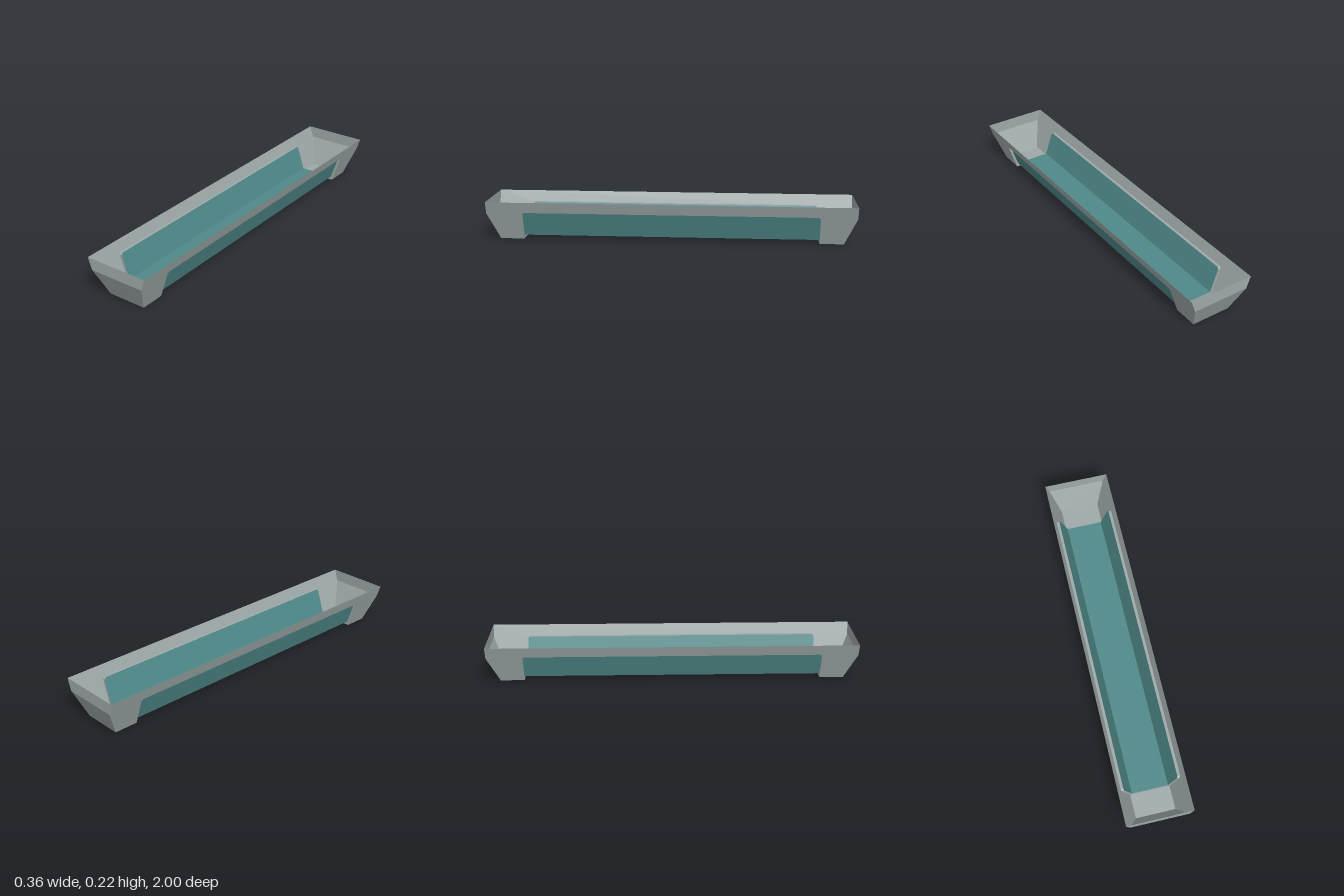
import * as THREE from 'three';

const TOP = 0.215, END = 0.805, INSET = 0.015, FLOOR = 0.02;
// half width of the flared trough at height y
const halfWidth = (y) => 0.108 + 0.072 * y / TOP;

// flat four-cornered faces, corners counter-clockwise from outside
function quads(list) {
  const pos = [];
  for (const [a, b, c, d] of list) pos.push(...a, ...b, ...c, ...a, ...c, ...d);
  const g = new THREE.BufferGeometry();
  g.setAttribute('position', new THREE.Float32BufferAttribute(pos, 3));
  g.computeVertexNormals();
  return g;
}

// symmetric outline [z, y], laid on the sloping side plane
function sidePanel(points, side, inset) {
  const g = new THREE.ShapeGeometry(new THREE.Shape(points.map(([z, y]) => new THREE.Vector2(z, y))));
  const p = g.attributes.position;
  for (let i = 0; i < p.count; i++) {
    const u = p.getX(i), y = p.getY(i);
    p.setXYZ(i, side * (halfWidth(y) - inset), y, -side * u);
  }
  g.computeVertexNormals();
  return g;
}

const mirrored = (half) => [...half, ...half.slice().reverse().map(([z, y]) => [-z, y])];

export function createModel() {
  const model = new THREE.Group();
  model.name = 'trough';
  const grey = new THREE.MeshStandardMaterial({ color: 0x9fa9a9, side: THREE.DoubleSide });
  grey.name = 'grey frame';
  const teal = new THREE.MeshStandardMaterial({ color: 0x4f8989, side: THREE.DoubleSide });
  teal.name = 'teal panel';
  const add = (name, geometry, material) => {
    const mesh = new THREE.Mesh(geometry, material);
    mesh.name = name;
    model.add(mesh);
  };

  // side walls with the large opening, and the inset panes
  const wall = [
    ...mirrored([[-0.935, 0], [-1, 0.15], [-1, TOP]]).reverse(),
  ].reverse();
  const opening = mirrored([[END, 0], [END, 0.145], [0.795, 0.155]]);
  const frameOutline = [...wall, ...opening];
  const pane = mirrored([[END, FLOOR], [END, 0.145], [0.795, 0.155]]);
  for (const side of [1, -1]) {
    const label = side > 0 ? 'left' : 'right';
    add(label + 'Wall', sidePanel(frameOutline, side, 0), grey);
    add(label + 'Pane', sidePanel(pane, side, INSET), teal);
  }

  // floor panel between the panes
  const fx = halfWidth(FLOOR) - INSET;
  add('floorPanel', quads([[[-fx, FLOOR, -END], [fx, FLOOR, -END], [fx, FLOOR, END], [-fx, FLOOR, END]]]), teal);

  // ends: upright rim, sloping face and foot
  const profile = [[TOP, 1], [0.15, 1], [0, 0.935], [0, END]];
  for (const end of [1, -1]) {
    const faces = [];
    for (let i = 0; i < 3; i++) {
      const [y0, z0] = profile[i], [y1, z1] = profile[i + 1];
      const x0 = end * halfWidth(y0), x1 = end * halfWidth(y1);
      faces.push([[-x0, y0, end * z0], [-x1, y1, end * z1], [x1, y1, end * z1], [x0, y0, end * z0]]);
    }
    add(end > 0 ? 'frontEnd' : 'backEnd', quads(faces), grey);
  }

  // narrow lip joining the opening to the inset panel
  const outer = [], inner = [];
  const corner = [[0.155, 0.795], [0.145, END], [0, END]];
  for (const [sx, sz, list] of [
    [1, 1, corner], [-1, 1, corner.slice().reverse()],
    [-1, -1, corner], [1, -1, corner.slice().reverse()],
  ]) {
    for (const [y, z] of list) {
      const yi = y || FLOOR;
      outer.push([sx * halfWidth(y), y, sz * z]);
      inner.push([sx * (halfWidth(yi) - INSET), yi, sz * z]);
    }
  }
  add('openingLip', quads(outer.map((o, i) => {
    const j = (i + 1) % outer.length;
    return [o, outer[j], inner[j], inner[i]];
  })), grey);

  return model;
}
